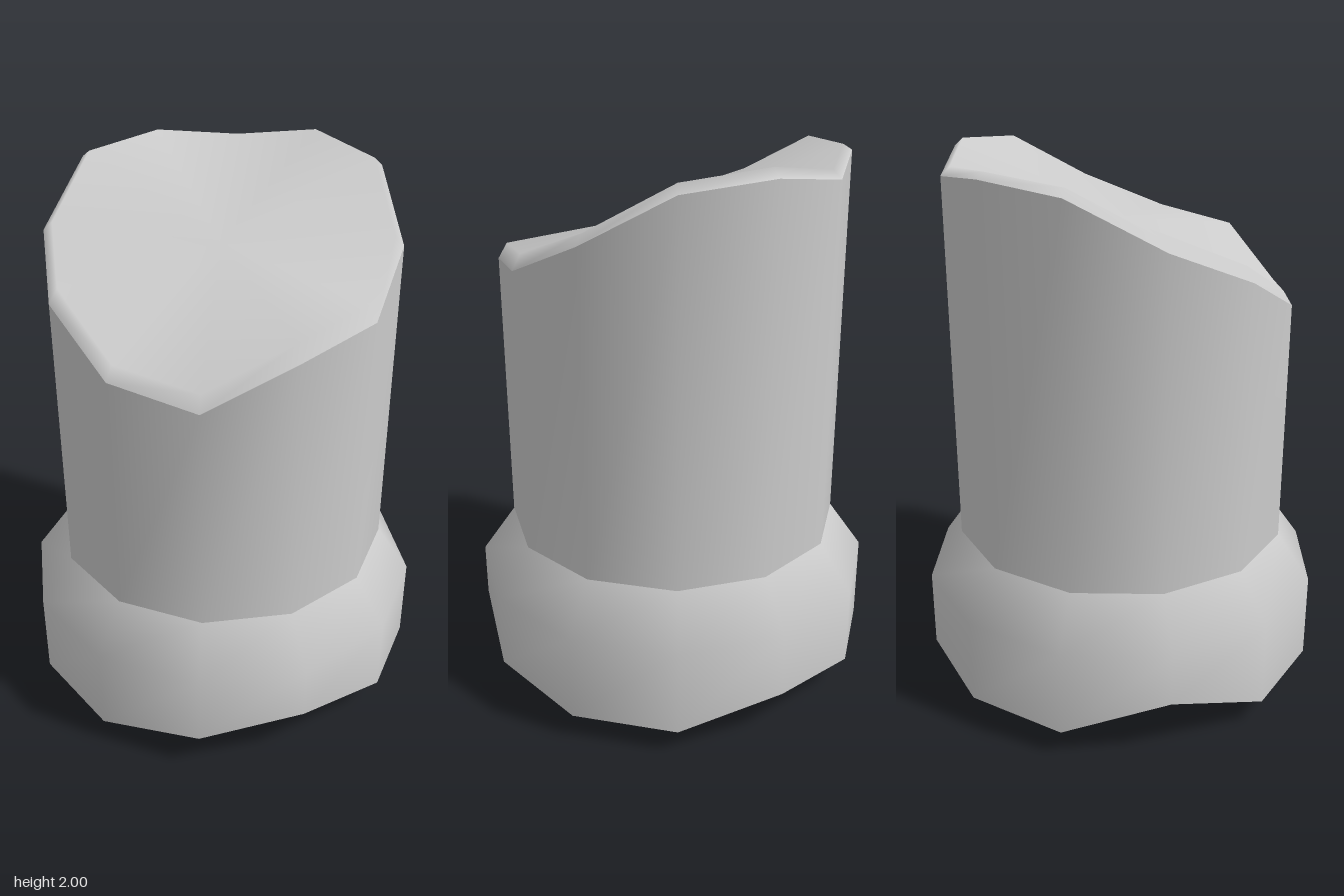
import * as THREE from 'three';
import { mergeVertices } from 'three/addons/utils/BufferGeometryUtils.js';

const SIDES = 12;

// One horizontal loop; heights is a number or one value per corner, starting at the front and turning to +x
const ring = (radius, heights) => Array.from({ length: SIDES }, (_, i) => {
  const a = (i / SIDES) * Math.PI * 2;
  const y = Array.isArray(heights) ? heights[i] : heights;
  return [radius * Math.sin(a), y, radius * Math.cos(a)];
});

// Smooth skin through loops listed from bottom to top; a loop of radius 0 closes an end
function loft(name, rings, material) {
  const index = [];
  for (let r = 0; r < rings.length - 1; r++) {
    for (let i = 0; i < SIDES; i++) {
      const j = (i + 1) % SIDES;
      const a = r * SIDES + i, b = r * SIDES + j;
      const c = b + SIDES, d = a + SIDES;
      if (Math.hypot(rings[r][0][0], rings[r][0][2]) > 0) index.push(a, b, c);
      else { index.push(a, c, d); continue; }
      if (Math.hypot(rings[r + 1][0][0], rings[r + 1][0][2]) > 0) index.push(a, c, d);
    }
  }
  let geometry = new THREE.BufferGeometry();
  geometry.setAttribute('position', new THREE.Float32BufferAttribute(rings.flat(2), 3));
  geometry.setIndex(index);
  geometry = mergeVertices(geometry);
  geometry.computeVertexNormals();
  const mesh = new THREE.Mesh(geometry, material);
  mesh.name = name;
  return mesh;
}

export function createModel() {
  const model = new THREE.Group();
  model.name = 'brokenColumn';
  const stone = new THREE.MeshStandardMaterial({ color: 0xcccccc });

  // Uneven broken edges
  const rim = [1.43, 1.585, 1.625, 1.765, 1.94, 1.97, 1.92, 1.96, 1.935, 1.77, 1.635, 1.48];
  const lip = [1.485, 1.64, 1.68, 1.8, 1.97, 2.0, 1.95, 1.98, 1.96, 1.8, 1.685, 1.53];
  const foot = [0.145, 0.21, 0.13, 0.09, 0.09, 0.17, 0.12, 0.095, 0.095, 0.22, 0.095, 0.09];

  const shaftRadius = 0.618, baseRadius = 0.742;

  // Ragged underside, coming to a low point
  model.add(loft('underside', [ring(0, 0), ring(baseRadius, foot)], stone));
  // Wide collar with a sloping shoulder
  model.add(loft('baseCollar', [ring(baseRadius, foot), ring(baseRadius, 0.41), ring(shaftRadius, 0.585)], stone));
  // Upright shaft
  model.add(loft('shaft', [ring(shaftRadius, 0.585), ring(shaftRadius, rim)], stone));
  // Slanting broken top with a narrow worn lip
  model.add(loft('brokenTop', [ring(shaftRadius, rim), ring(0.586, lip), ring(0, 1.75)], stone));

  return model;
}
